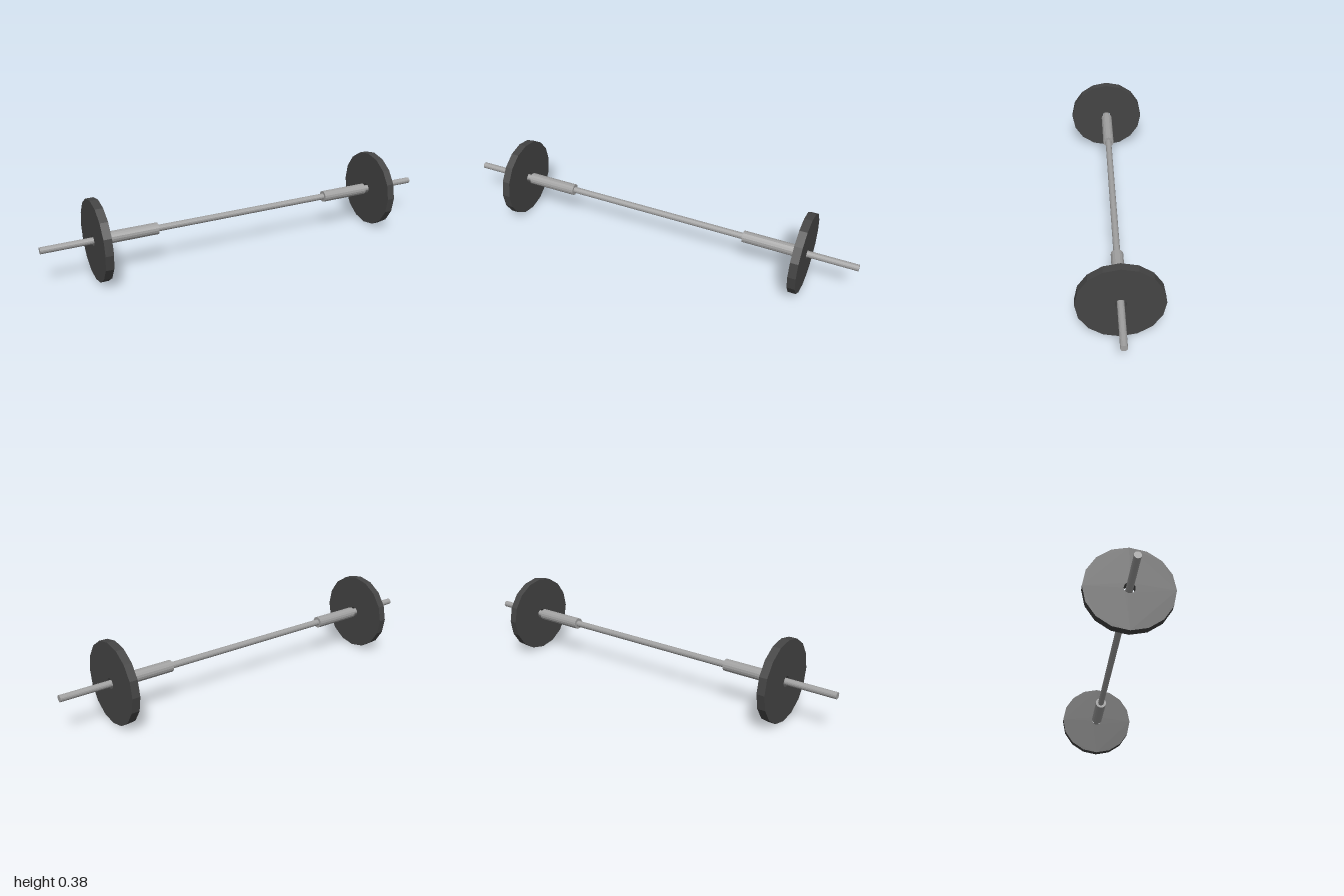
import * as THREE from 'three';

const AXIS_Y = 0.192;

export function createModel() {
  const group = new THREE.Group();
  group.name = 'barbell';

  const steel = new THREE.MeshStandardMaterial({ color: 0xa0a0a0, flatShading: true });
  steel.name = 'steel';
  const iron = new THREE.MeshStandardMaterial({ color: 0x444444, flatShading: true });
  iron.name = 'dark iron';

  // Cylinder lying along x
  function rod(name, radius, x0, x1, sides) {
    const geometry = new THREE.CylinderGeometry(radius, radius, x1 - x0, sides);
    geometry.rotateZ(Math.PI / 2);
    const mesh = new THREE.Mesh(geometry, steel);
    mesh.name = name;
    mesh.position.set((x0 + x1) / 2, AXIS_Y, 0);
    group.add(mesh);
  }

  // Points of a regular polygon
  function ring(radius, sides) {
    return Array.from({ length: sides }, (_, i) => {
      const a = (i / sides) * Math.PI * 2;
      return new THREE.Vector2(Math.cos(a) * radius, Math.sin(a) * radius);
    });
  }

  // Sixteen-sided weight disc with a bore slightly wider than the bar
  const disc = new THREE.Shape(ring(0.192, 16));
  disc.holes.push(new THREE.Path(ring(0.0245, 16)));
  const discGeometry = new THREE.ExtrudeGeometry(disc, { depth: 0.038, bevelEnabled: false });
  discGeometry.translate(0, 0, -0.019);
  discGeometry.rotateY(Math.PI / 2);

  // Full-length bar
  rod('bar', 0.0155, -1, 1, 16);

  // Grips and weights, mirrored
  for (const [side, label] of [[1, 'left'], [-1, 'right']]) {
    const ends = [side * 0.453, side * 0.703].sort((a, b) => a - b);
    rod(label + 'Grip', 0.028, ends[0], ends[1], 16);

    const weight = new THREE.Mesh(discGeometry, iron);
    weight.name = label + 'Weight';
    weight.position.set(side * 0.743, AXIS_Y, 0);
    group.add(weight);
  }

  return group;
}
